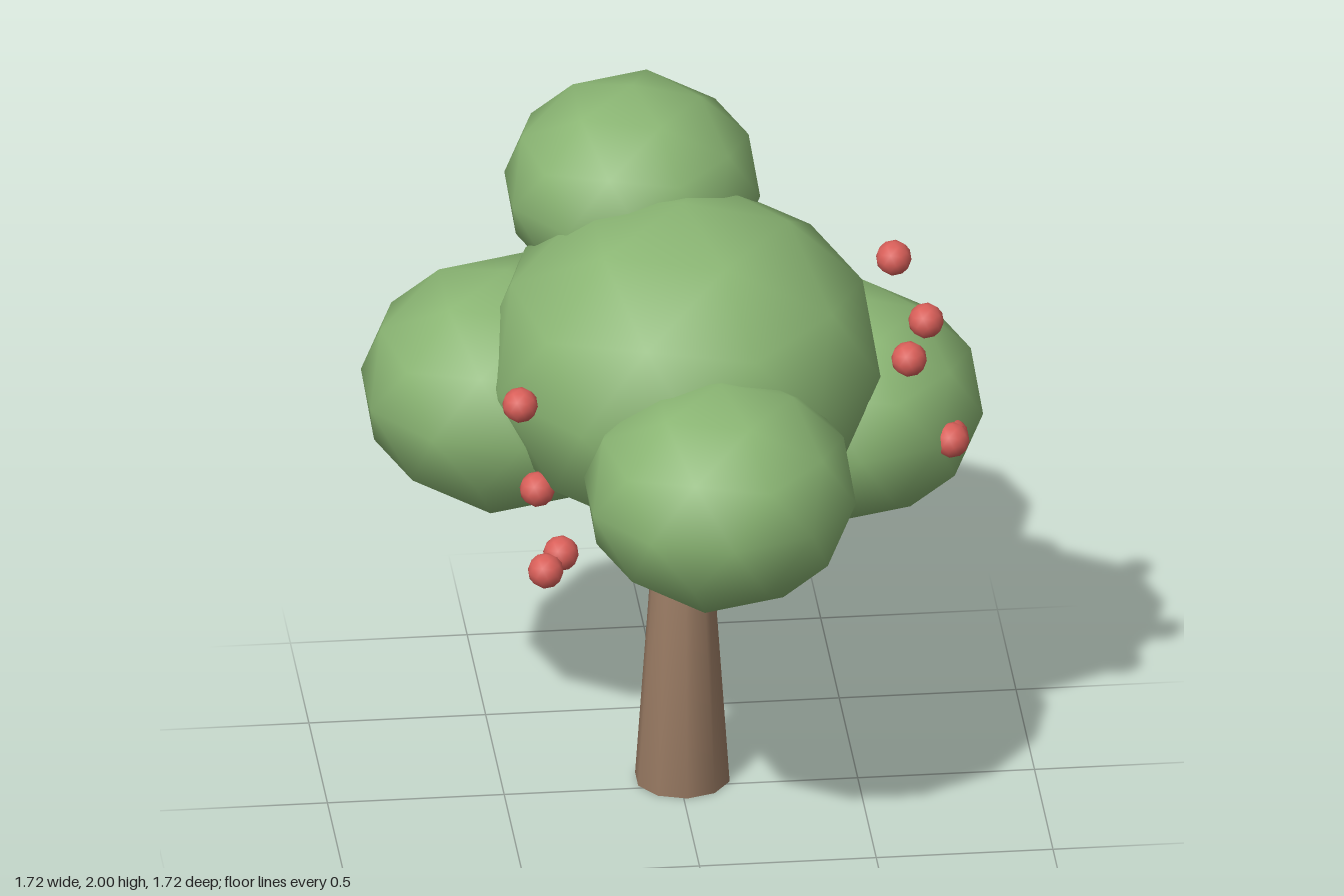
import * as THREE from 'three';
import { mergeVertices } from 'three/addons/utils/BufferGeometryUtils.js';

const paint = (name, color) => {
  const m = new THREE.MeshStandardMaterial({ color });
  m.name = name;
  return m;
};

// Shares vertices so that shading is smooth across all faces
function smooth(geometry) {
  geometry.deleteAttribute('normal');
  geometry.deleteAttribute('uv');
  const merged = mergeVertices(geometry);
  merged.computeVertexNormals();
  return merged;
}

export function createModel() {
  const tree = new THREE.Group();
  tree.name = 'tree';
  const bark = paint('bark brown', 0x9c7d65);
  const leaf = paint('leaf green', 0x8ab573);
  const fruit = paint('fruit red', 0xd95f59);

  // Low-poly ball with one vertex straight up
  const ball = smooth(new THREE.IcosahedronGeometry(1, 1).rotateZ(-Math.atan2(1, (1 + Math.sqrt(5)) / 2)));

  function addBall(parent, name, material, [x, y, z], radius, height = radius) {
    const mesh = new THREE.Mesh(ball, material);
    mesh.name = name;
    mesh.position.set(x, y, z);
    mesh.scale.set(radius, height, radius);
    parent.add(mesh);
  }

  // Tapered trunk, reaching into the crown
  const trunk = new THREE.Mesh(smooth(new THREE.CylinderGeometry(0.07, 0.136, 0.95, 10)), bark);
  trunk.name = 'trunk';
  trunk.position.set(0.01, 0.475, -0.057);
  tree.add(trunk);

  // Crown: slightly flattened clumps of leaves
  const crown = new THREE.Group();
  crown.name = 'crown';
  tree.add(crown);
  addBall(crown, 'mainFoliage', leaf, [0.01, 1.322, -0.057], 0.57, 0.488);
  addBall(crown, 'frontFoliage', leaf, [0.062, 1.163, 0.465], 0.391, 0.334);
  addBall(crown, 'backFoliage', leaf, [-0.093, 1.688, -0.428], 0.368, 0.312);
  addBall(crown, 'leftFoliage', leaf, [0.487, 1.104, -0.17], 0.392, 0.33);
  addBall(crown, 'rightFoliage', leaf, [-0.464, 1.16, -0.27], 0.42, 0.355);

  // Fruit scattered around the crown
  const fruits = new THREE.Group();
  fruits.name = 'fruits';
  tree.add(fruits);
  const spots = [
    [0.62, 1.547, -0.172], [0.673, 1.53, 0.193], [0.635, 1.363, 0.098],
    [0.755, 1.105, 0.105], [0.757, 1.095, 0.055], [0.385, 1.047, 0.333],
    [-0.5, 1.445, 0.43], [-0.44, 0.978, 0.547], [-0.425, 1.05, 0.18],
    [-0.37, 0.9, 0.29], [-0.13, 1.425, -0.815], [0.23, 1.372, -0.803],
    [0.402, 0.995, -0.675],
  ];
  spots.forEach((p, i) => addBall(fruits, `fruit${i + 1}`, fruit, p, 0.051));

  return tree;
}
